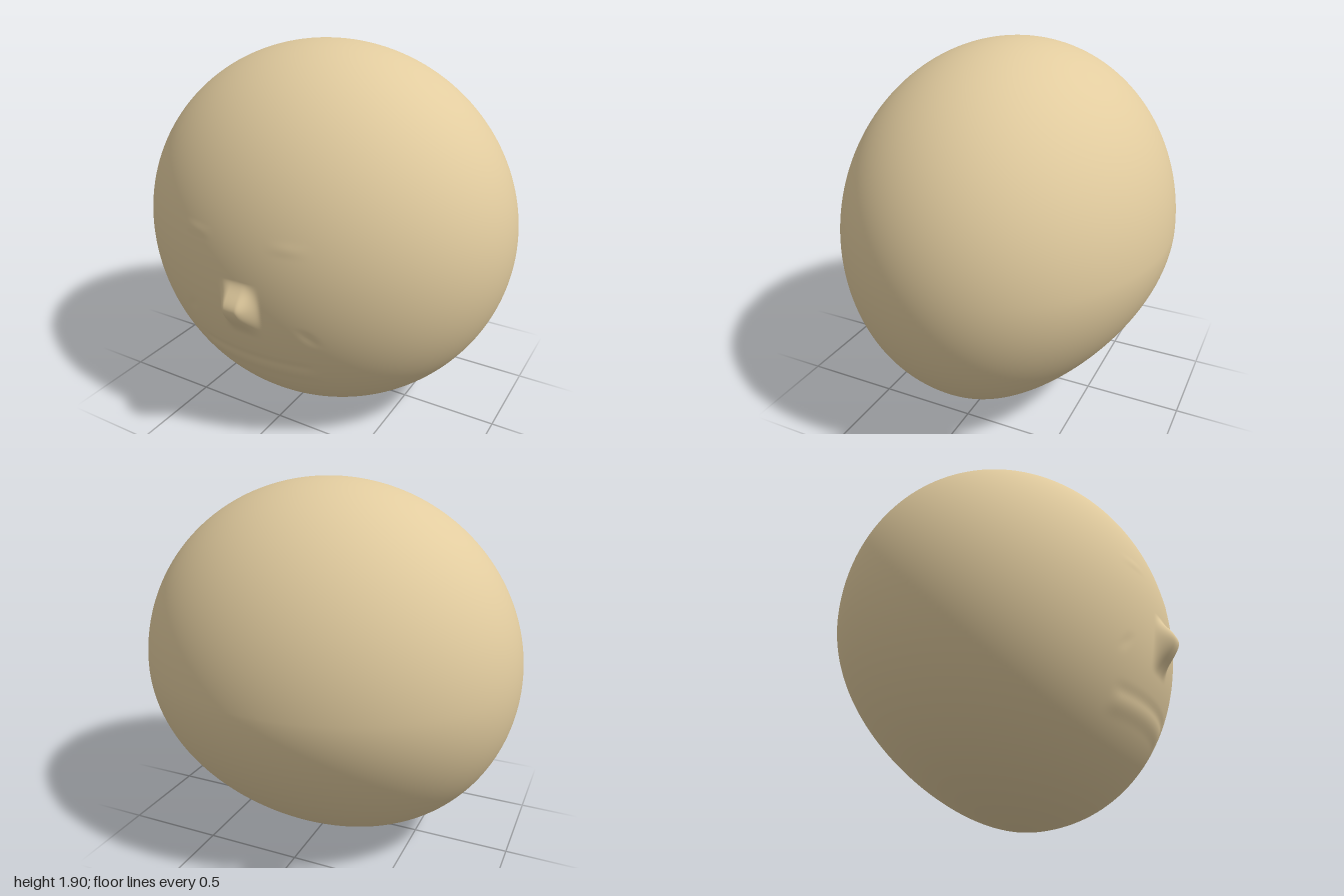
import * as THREE from 'three';
import { mergeVertices } from 'three/addons/utils/BufferGeometryUtils.js';

const { smoothstep } = THREE.MathUtils;
const bump = (d, r) => 1 - smoothstep(Math.abs(d), 0, r);

// Relief of the face, pushed along z
function faceRelief(x, y) {
  const ax = Math.abs(x);
  // nose: steep sides, rounded tip at y = 0.81
  const noseY = y > 0.81 ? 1 - smoothstep(y, 0.81, 0.94) : smoothstep(y, 0.64, 0.81);
  let d = 0.073 * noseY * (1 - smoothstep(ax, 0.03, 0.115));
  // mouth: slight lower lip under a shallow crease
  const mouth = 1 - smoothstep(ax, 0.26, 0.36);
  d += mouth * (0.005 * bump(y - 0.44, 0.06) - 0.003 * bump(y - 0.5, 0.04));
  // faint cheek folds and brows
  d -= 0.0025 * bump(ax - 0.33 + (y - 0.7) * 0.6, 0.05) * bump(y - 0.7, 0.06);
  d += 0.002 * bump(ax - 0.25, 0.12) * bump(y - 1.13, 0.04);
  return d;
}

function headGeometry() {
  const geo = new THREE.SphereGeometry(1, 200, 180);
  geo.deleteAttribute('uv');
  geo.deleteAttribute('normal');
  const p = geo.attributes.position;
  for (let i = 0; i < p.count; i++) {
    // pole turned to the front, with rings packed closer around the face
    const angle = Math.atan2(p.getX(i), -p.getZ(i));
    const u = Math.acos(THREE.MathUtils.clamp(p.getY(i), -1, 1)) / Math.PI;
    const theta = Math.PI * Math.pow(u, 1.4);
    const ring = Math.sin(theta);
    const x = ring * Math.sin(angle);
    const h = ring * Math.cos(angle);
    const y = 0.95 + 0.95 * h;
    let z = 0.84 * Math.cos(theta);
    // the lower back of the skull tapers in toward the chin
    const low = Math.max(0, -h);
    if (z < 0) z *= 1 - 0.26 * Math.pow(low, 1.7);
    else z += faceRelief(x, y);
    p.setXYZ(i, x, y, z - 0.03 + 0.04 * low * low);
  }
  const merged = mergeVertices(geo, 1e-5);
  merged.computeVertexNormals();
  return merged;
}

export function createModel() {
  const group = new THREE.Group();
  const head = new THREE.Mesh(
    headGeometry(),
    new THREE.MeshStandardMaterial({ color: 0xe2cc9f })
  );
  head.name = 'head';
  group.add(head);
  return group;
}
